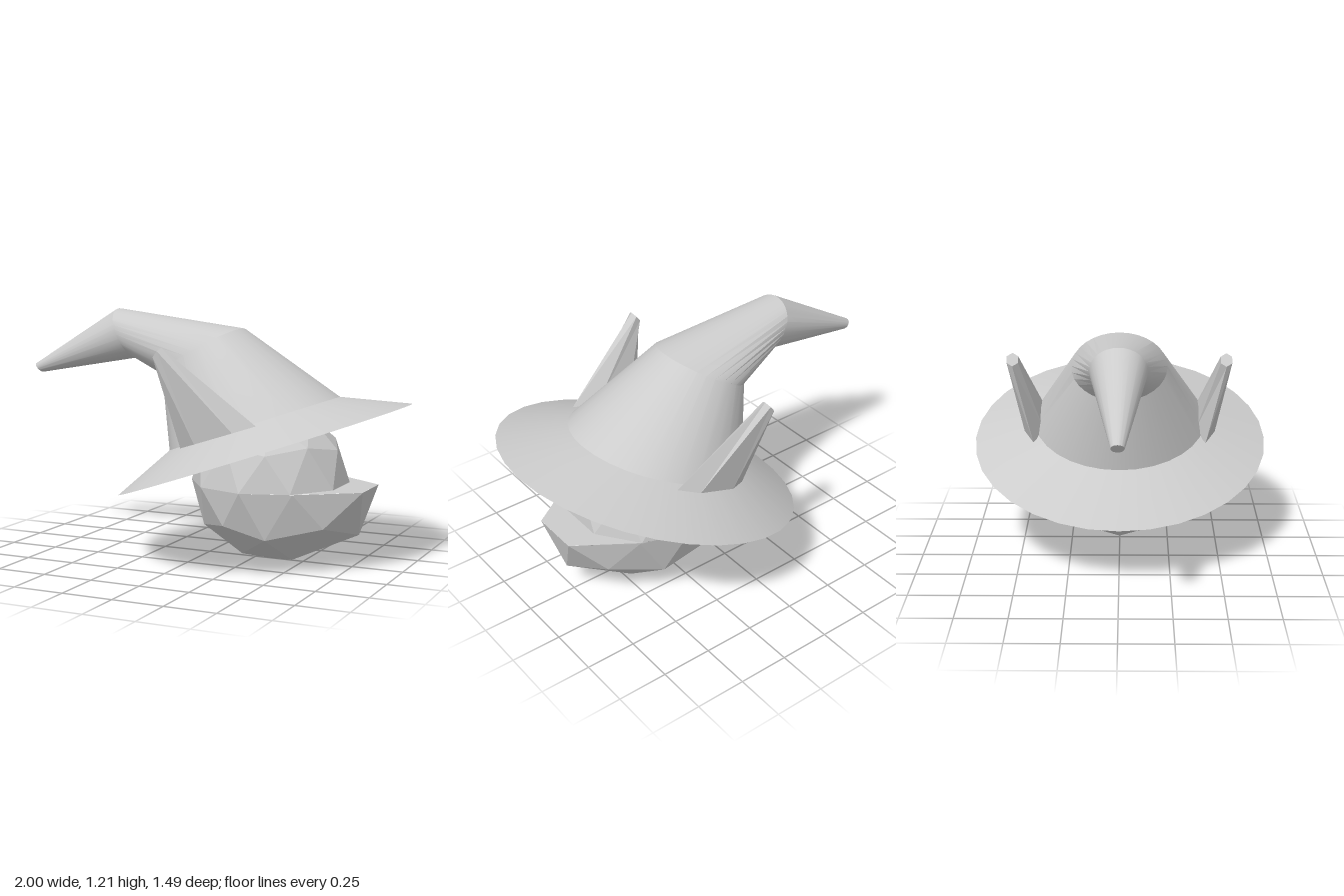
import * as THREE from 'three';
import { toCreasedNormals } from 'three/addons/utils/BufferGeometryUtils.js';

// Capped loft through elliptical rings {c, u, v}, advancing along u x v.
function loft(rings, sides) {
  const pos = [], idx = [];
  const point = (r, a) => r.c.clone().addScaledVector(r.u, Math.cos(a)).addScaledVector(r.v, Math.sin(a));
  for (const r of rings)
    for (let j = 0; j < sides; j++) pos.push(...point(r, (j / sides) * Math.PI * 2).toArray());
  for (let i = 0; i < rings.length - 1; i++)
    for (let j = 0; j < sides; j++) {
      const a = i * sides + j, b = i * sides + (j + 1) % sides;
      idx.push(a, b, b + sides, a, b + sides, a + sides);
    }
  const last = (rings.length - 1) * sides;
  for (let j = 1; j < sides - 1; j++) {
    idx.push(0, j + 1, j);
    idx.push(last, last + j, last + j + 1);
  }
  const g = new THREE.BufferGeometry();
  g.setAttribute('position', new THREE.Float32BufferAttribute(pos, 3));
  g.setIndex(idx);
  return g;
}

// Ring given by the two ends of its side-on line, with its half width in z.
function ring(x0, y0, x1, y1, z = 0, width) {
  const u = new THREE.Vector3((x1 - x0) / 2, (y1 - y0) / 2, 0);
  return {
    c: new THREE.Vector3((x0 + x1) / 2, (y0 + y1) / 2, z),
    u,
    v: new THREE.Vector3(0, 0, -(width ?? u.length())),
  };
}

export function createModel() {
  const model = new THREE.Group();
  const smooth = new THREE.MeshStandardMaterial({ color: 0xcccccc });
  const flat = new THREE.MeshStandardMaterial({ color: 0xcccccc, flatShading: true });
  const add = (name, geometry, material) => {
    const mesh = new THREE.Mesh(geometry, material);
    mesh.name = name;
    model.add(mesh);
    return mesh;
  };

  // Hat: recessed underside, brim edge, crown foot, two bends and a blunt tip
  const hat = loft([
    ring(-0.285, 0.393, 0.831, 0.781),
    ring(-0.41, 0.297, 0.998, 0.786),
    ring(-0.17, 0.52, 0.65, 0.808),
    ring(-0.23, 0.885, 0.17, 1.125),
    ring(-0.40, 0.965, -0.505, 1.21),
    ring(-0.96, 0.87, -1.0, 0.915),
  ], 32);
  add('hat', toCreasedNormals(hat, 0.35), smooth);

  // Ears: flattened six-sided spikes standing on the brim
  const earShape = loft([
    ring(0.05, 0.59, 0.43, 0.715, 0.43, 0.058),
    ring(-0.042, 1.005, 0.0, 1.062, 0.518, 0.032),
  ], 6).toNonIndexed();
  earShape.computeVertexNormals();
  add('leftEar', earShape, flat);
  add('rightEar', earShape, flat).scale.z = -1;

  // Head: faceted ball with a pole on y, its lower front half pulled out as a jaw
  const R = 0.385;
  const head = new THREE.IcosahedronGeometry(R, 1);
  head.rotateX(-Math.atan((1 + Math.sqrt(5)) / 2));
  head.rotateY(Math.PI / 2);
  const p = head.attributes.position;
  for (let f = 0; f < p.count; f += 3) {
    if (p.getY(f) + p.getY(f + 1) + p.getY(f + 2) > 0) continue;
    for (let i = f; i < f + 3; i++) {
      const x = p.getX(i), y = p.getY(i);
      p.setX(i, x + 0.145 * THREE.MathUtils.smoothstep(x, 0.2, 0.36));
      if (x > 0.1 && y < -0.19) p.setY(i, y - 0.025);
    }
  }
  head.computeVertexNormals();
  add('head', head, flat).position.set(0.325, 0.39, 0);

  // Flat top of the jaw
  const shelf = new THREE.Shape([
    [0.226, -0.311], [0.511, -0.119], [0.511, 0.119],
    [0.226, 0.311], [0.366, 0.119], [0.366, -0.119],
  ].map(([x, y]) => new THREE.Vector2(x, y)));
  const jaw = add('jawTop', new THREE.ShapeGeometry(shelf), flat);
  jaw.rotation.x = -Math.PI / 2;
  jaw.position.set(0.325, 0.39, 0);

  return model;
}
